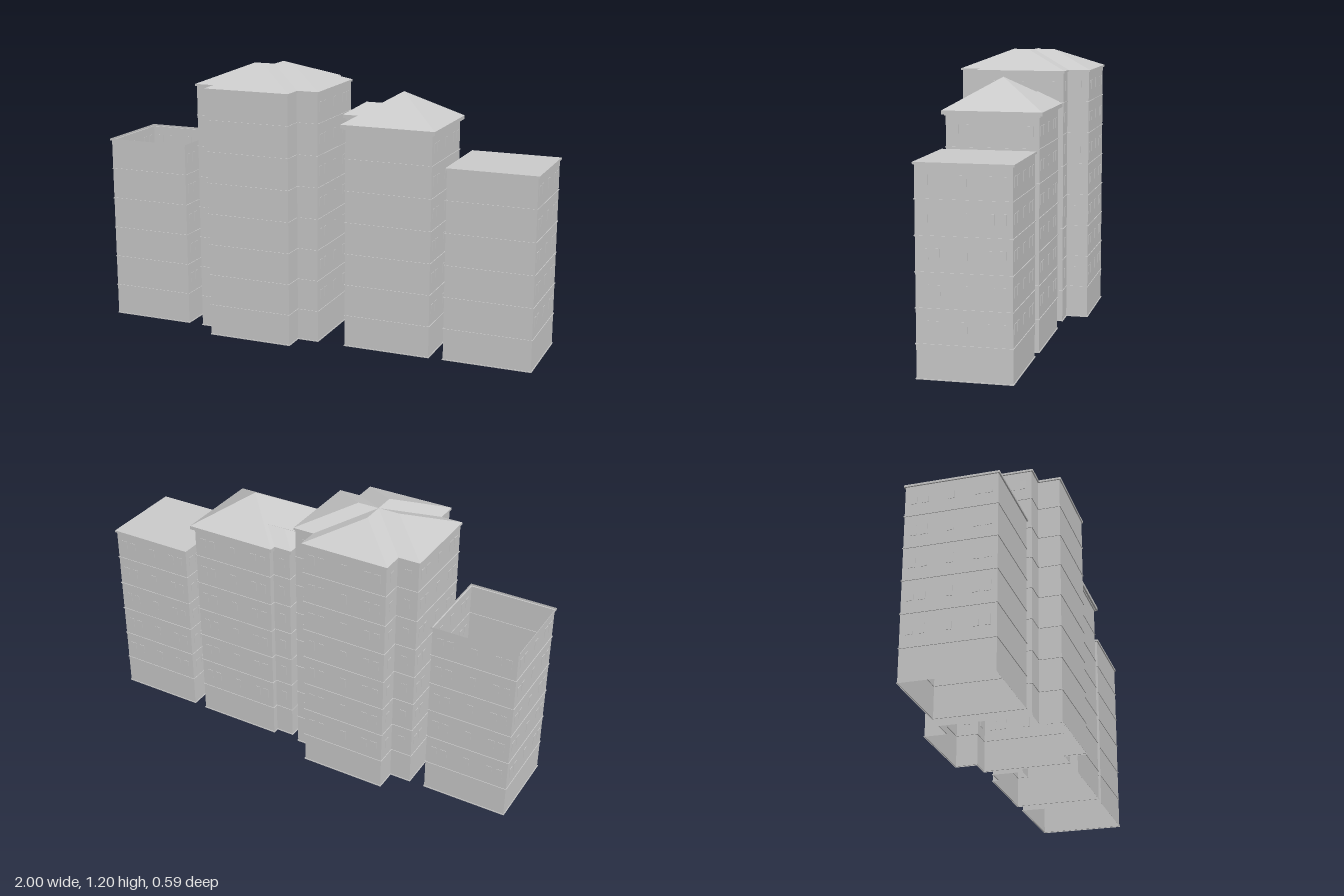
import * as THREE from 'three';
import { mergeGeometries } from 'three/addons/utils/BufferGeometryUtils.js';

const FLOOR = 0.14;
const material = new THREE.MeshStandardMaterial({
  color: 0xcccccc, flatShading: true, side: THREE.DoubleSide,
});

function mesh(name, geometry, x = 0, y = 0, z = 0) {
  const m = new THREE.Mesh(geometry, material);
  m.name = name;
  m.position.set(x, y, z);
  return m;
}

// Triangles from quads or triangles given as corner lists
function faces(list) {
  const pos = [];
  for (const f of list)
    for (let i = 1; i < f.length - 1; i++) pos.push(...f[0], ...f[i], ...f[i + 1]);
  const g = new THREE.BufferGeometry();
  g.setAttribute('position', new THREE.Float32BufferAttribute(pos, 3));
  g.computeVertexNormals();
  return g;
}

const rectangle = (x0, x1, z0, z1) => [[x0, z1], [x1, z1], [x1, z0], [x0, z0]];

// Edges of a right-angled outline with their outward normals
function edgesOf(outline) {
  return outline.map((a, i) => {
    const b = outline[(i + 1) % outline.length];
    const dx = b[0] - a[0], dz = b[1] - a[1], length = Math.hypot(dx, dz);
    return { a, b, length, nx: -dz / length, nz: dx / length };
  });
}

// Open wall shell: the outline swept up through small floor ledges and a cornice
function walls(outline, floors, top) {
  const edges = edgesOf(outline);
  const levels = [[0, 0.003], [0.004, 0.003], [0.004, 0]];
  for (let f = 1; f < floors; f++) {
    const y = f * FLOOR;
    levels.push([y - 0.002, 0], [y - 0.002, 0.003], [y + 0.002, 0.003], [y + 0.002, 0]);
  }
  levels.push([top - 0.009, 0], [top - 0.009, 0.006], [top, 0.006]);
  const rings = levels.map(([y, d]) => edges.map((e, i) => {
    const p = edges[(i + edges.length - 1) % edges.length];
    return [e.a[0] + d * (e.nx + p.nx), y, e.a[1] + d * (e.nz + p.nz)];
  }));
  const quads = [];
  for (let k = 0; k < rings.length - 1; k++)
    for (let i = 0; i < edges.length; i++) {
      const j = (i + 1) % edges.length;
      quads.push([rings[k][i], rings[k][j], rings[k + 1][j], rings[k + 1][i]]);
    }
  return faces(quads);
}

// Small window panes on the side and back walls of every upper floor
function windows(outline, floors) {
  const panes = [];
  for (const e of edgesOf(outline)) {
    const frontArm = Math.abs(e.nx) > 0.5 && (e.a[1] + e.b[1]) / 2 > 0.1;
    if (e.nz > 0.5 || frontArm || e.length < 0.06) continue;
    const spots = e.length > 0.2 ? [0.1, 0.22, 0.5, 0.78, 0.9] : [0.5];
    for (let f = 1; f < floors; f++)
      for (const t of spots) {
        const g = new THREE.BoxGeometry(0.028, 0.042, 0.004);
        g.rotateY(Math.atan2(e.nx, e.nz));
        g.translate(e.a[0] + (e.b[0] - e.a[0]) * t, f * FLOOR + 0.072,
          e.a[1] + (e.b[1] - e.a[1]) * t);
        panes.push(g);
      }
  }
  return mergeGeometries(panes);
}

// Hip roof with its ridge along x
function hipRoof(width, depth, height, ridge) {
  const w = width / 2, d = depth / 2, r = ridge / 2;
  const A = [-w, 0, d], B = [w, 0, d], C = [w, 0, -d], D = [-w, 0, -d];
  const L = [-r, height, 0], R = [r, height, 0];
  return faces([[A, B, R, L], [B, C, R], [C, D, L, R], [D, A, L]]);
}

function building(name, outline, floors, top = floors * FLOOR) {
  const g = new THREE.Group();
  g.name = name;
  g.add(mesh('walls', walls(outline, floors, top)));
  g.add(mesh('windows', windows(outline, floors)));
  return g;
}

export function createModel() {
  const model = new THREE.Group();
  model.name = 'buildingRow';

  // Roofless block at one end
  model.add(building('openBlock', rectangle(-0.994, -0.616, -0.19, 0.19), 6));

  // Cross-shaped tower with two crossing hip roofs
  const cx = -0.257, o = 0.288, n = 0.192;
  const cross = [[-n, o], [n, o], [n, n], [o, n], [o, -n], [n, -n],
    [n, -o], [-n, -o], [-n, -n], [-o, -n], [-o, n], [-n, n]].map(([x, z]) => [x + cx, z]);
  const tower = building('crossTower', cross, 8);
  for (const turn of [0, Math.PI / 2]) {
    const roof = mesh('hipRoof', hipRoof(0.588, 0.396, 0.08, 0.192), cx, 1.12, 0);
    roof.rotation.y = turn;
    tower.add(roof);
  }
  model.add(tower);

  // Block with a pyramid roof and a narrow stair bay on its side
  const bay = [[0.16, 0.194], [0.546, 0.194], [0.546, -0.194], [0.16, -0.194],
    [0.16, -0.167], [0.077, -0.167], [0.077, -0.033], [0.16, -0.033]];
  const block = building('pyramidBlock', bay, 7, 0.977);
  block.add(mesh('eaves', new THREE.BoxGeometry(0.418, 0.016, 0.418), 0.352, 0.982, 0));
  const pyramid = new THREE.ConeGeometry(0.209 * Math.SQRT2, 0.125, 4, 1, true);
  pyramid.rotateY(Math.PI / 4);
  block.add(mesh('pyramidRoof', pyramid, 0.352, 0.99 + 0.0625, 0));
  block.add(mesh('bayEaves', new THREE.BoxGeometry(0.12, 0.015, 0.16), 0.122, 0.982, -0.1));
  block.add(mesh('bayRoof', hipRoof(0.28, 0.16, 0.05, 0.12), 0.202, 0.99, -0.1));
  model.add(block);

  // Flat-roofed block at the other end
  const flat = building('flatBlock', rectangle(0.61, 0.994, -0.19, 0.19), 6);
  const lid = new THREE.PlaneGeometry(0.396, 0.392);
  lid.rotateX(-Math.PI / 2);
  flat.add(mesh('flatRoof', lid, 0.802, 0.84, 0));
  model.add(flat);

  return model;
}
